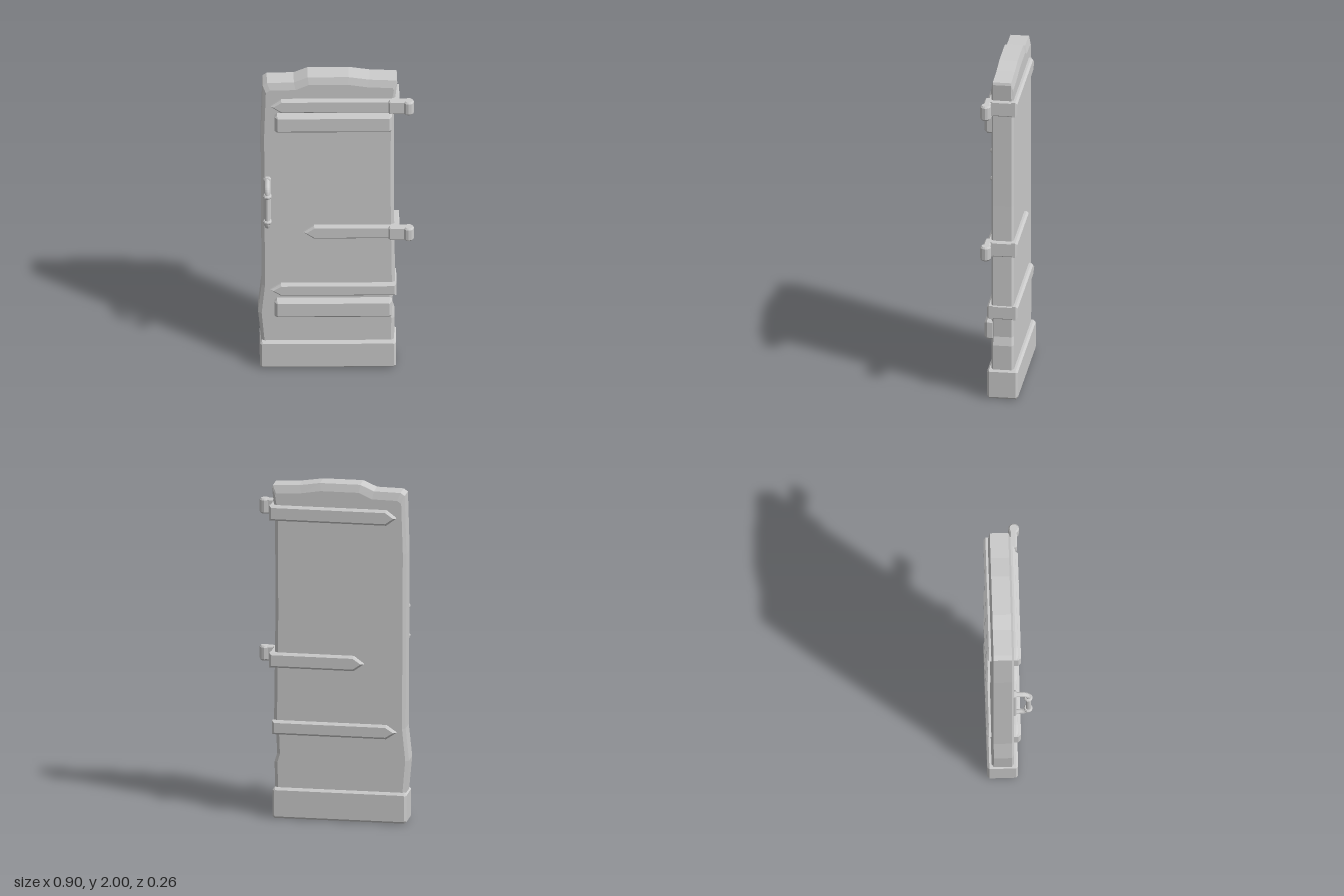
import * as THREE from 'three';

const mat = new THREE.MeshStandardMaterial({ color: 0xcccccc, flatShading: true });

function add(parent, name, geometry) {
  const mesh = new THREE.Mesh(geometry, mat);
  mesh.name = name;
  parent.add(mesh);
  return mesh;
}

// Chamfered plate lying in the xy plane between two depths
function plate(points, z0, z1, bevel) {
  const shape = new THREE.Shape(points.map(([x, y]) => new THREE.Vector2(x, y)));
  const geo = new THREE.ExtrudeGeometry(shape, {
    depth: z1 - z0 - 2 * bevel, bevelEnabled: true, bevelThickness: bevel,
    bevelSize: bevel, bevelOffset: -bevel, bevelSegments: 1,
  });
  return geo.translate(0, 0, z0 + bevel);
}

// Rectangle with cut corners
function cutRect(x0, x1, y0, y1, c) {
  return [[x0 + c, y0], [x1 - c, y0], [x1, y0 + c], [x1, y1 - c],
    [x1 - c, y1], [x0 + c, y1], [x0, y1 - c], [x0, y0 + c]];
}

// Door slab: worn outline, skinned through four loops with sloped rims
function slabGeometry() {
  const outline = [
    [-0.425, 0.1], [0.33, 0.1], [0.335, 0.33], [0.32, 0.38], [0.325, 0.5], [0.338, 0.57],
    [0.33, 1.2], [0.332, 1.8], [0.35, 1.96], [0.345, 1.975], [0.19, 1.982], [0.07, 2.0],
    [-0.165, 2.0], [-0.245, 1.965], [-0.4, 1.962], [-0.425, 1.945], [-0.435, 1.6],
    [-0.43, 0.56], [-0.45, 0.37],
  ];
  const n = outline.length;
  const rim = outline.map(([x, y]) => [(x + 0.045) * 0.95 - 0.045, y > 1.9 ? y - 0.045 : y]);
  const loops = [[rim, -0.108], [outline, -0.096], [outline, 0.01], [rim, 0.022]];
  const pos = [], index = [];
  for (const [loop, z] of loops) for (const [x, y] of loop) pos.push(x, y, z);
  for (let l = 0; l < 3; l++) {
    for (let i = 0; i < n; i++) {
      const a = l * n + i, b = l * n + (i + 1) % n;
      index.push(a, b, b + n, a, b + n, a + n);
    }
  }
  const caps = THREE.ShapeUtils.triangulateShape(rim.map(([x, y]) => new THREE.Vector2(x, y)), []);
  for (const [a, b, c] of caps) index.push(a, c, b, a + 3 * n, b + 3 * n, c + 3 * n);
  const geo = new THREE.BufferGeometry();
  geo.setAttribute('position', new THREE.Float32BufferAttribute(pos, 3));
  geo.setIndex(index);
  geo.computeVertexNormals();
  return geo;
}

// Pointed strap wrapped round the hinge edge, with an optional hinge barrel
function strap(name, tip, y0, y1, hinged) {
  const g = new THREE.Group();
  g.name = name;
  const mid = (y0 + y1) / 2, end = hinged ? 0.362 : 0.345;
  const pointed = [[tip, mid], [tip + 0.06, y0], [end, y0], [end, y1], [tip + 0.06, y1]];
  add(g, 'frontStrap', plate(pointed, 0.0, 0.046, 0.012));
  add(g, 'backStrap', plate(pointed, -0.133, -0.09, 0.012));
  add(g, 'edgeStrap', plate(cutRect(0.3, end, y0, y1, 0.006), -0.127, 0.04, 0.006));
  if (hinged) {
    add(g, 'hingeNeck', plate(cutRect(0.3, 0.425, y0, y1, 0.008), 0.018, 0.06, 0.008));
    const h = (y1 - y0) / 2, r = 0.031;
    const profile = [[0, -h], [r - 0.008, -h], [r, -h + 0.01], [r, h - 0.01], [r - 0.008, h], [0, h]]
      .map(([x, y]) => new THREE.Vector2(x, y));
    add(g, 'hingeBarrel', new THREE.LatheGeometry(profile, 12)).position.set(0.415, mid, 0.043);
  }
  return g;
}

function handle() {
  const g = new THREE.Group();
  g.name = 'handle';
  const x = -0.398;
  add(g, 'handlePlate', plate(cutRect(x - 0.022, x + 0.022, 0.985, 1.32, 0.012), 0.01, 0.036, 0.006));
  // Grip bent back to the door at both ends
  const path = new THREE.CurvePath();
  const v = (y, z) => new THREE.Vector3(x, y, z);
  path.add(new THREE.LineCurve3(v(1.008, 0.02), v(1.012, 0.06)));
  path.add(new THREE.QuadraticBezierCurve3(v(1.012, 0.06), v(1.015, 0.105), v(1.06, 0.105)));
  path.add(new THREE.LineCurve3(v(1.06, 0.105), v(1.245, 0.105)));
  path.add(new THREE.QuadraticBezierCurve3(v(1.245, 0.105), v(1.29, 0.105), v(1.293, 0.06)));
  path.add(new THREE.LineCurve3(v(1.293, 0.06), v(1.298, 0.02)));
  add(g, 'grip', new THREE.TubeGeometry(path, 40, 0.015, 10));
  for (const y of [1.062, 1.238]) {
    const collar = [[0.01, -0.012], [0.02, -0.012], [0.026, -0.004], [0.026, 0.004], [0.02, 0.012], [0.01, 0.012]]
      .map(([r, h]) => new THREE.Vector2(r, h));
    add(g, 'collar', new THREE.LatheGeometry(collar, 10)).position.set(x, y, 0.103);
  }
  return g;
}

export function createModel() {
  const model = new THREE.Group();
  model.name = 'door';
  add(model, 'slab', slabGeometry());
  add(model, 'basePlate', plate(cutRect(-0.44, 0.343, 0, 0.18, 0.012), -0.133, 0.045, 0.012));

  // Raised cross bars
  for (const y of [0.358, 1.643]) {
    add(model, 'crossBar', plate(cutRect(-0.355, 0.32, y, y + 0.118, 0.012), 0.0, 0.064, 0.016));
  }

  // Metal straps, the upper two carrying hinges
  model.add(strap('topStrap', -0.38, 1.77, 1.86, true));
  model.add(strap('middleStrap', -0.19, 0.895, 0.983, true));
  model.add(strap('bottomStrap', -0.38, 0.498, 0.58, false));

  model.add(handle());
  return model;
}
